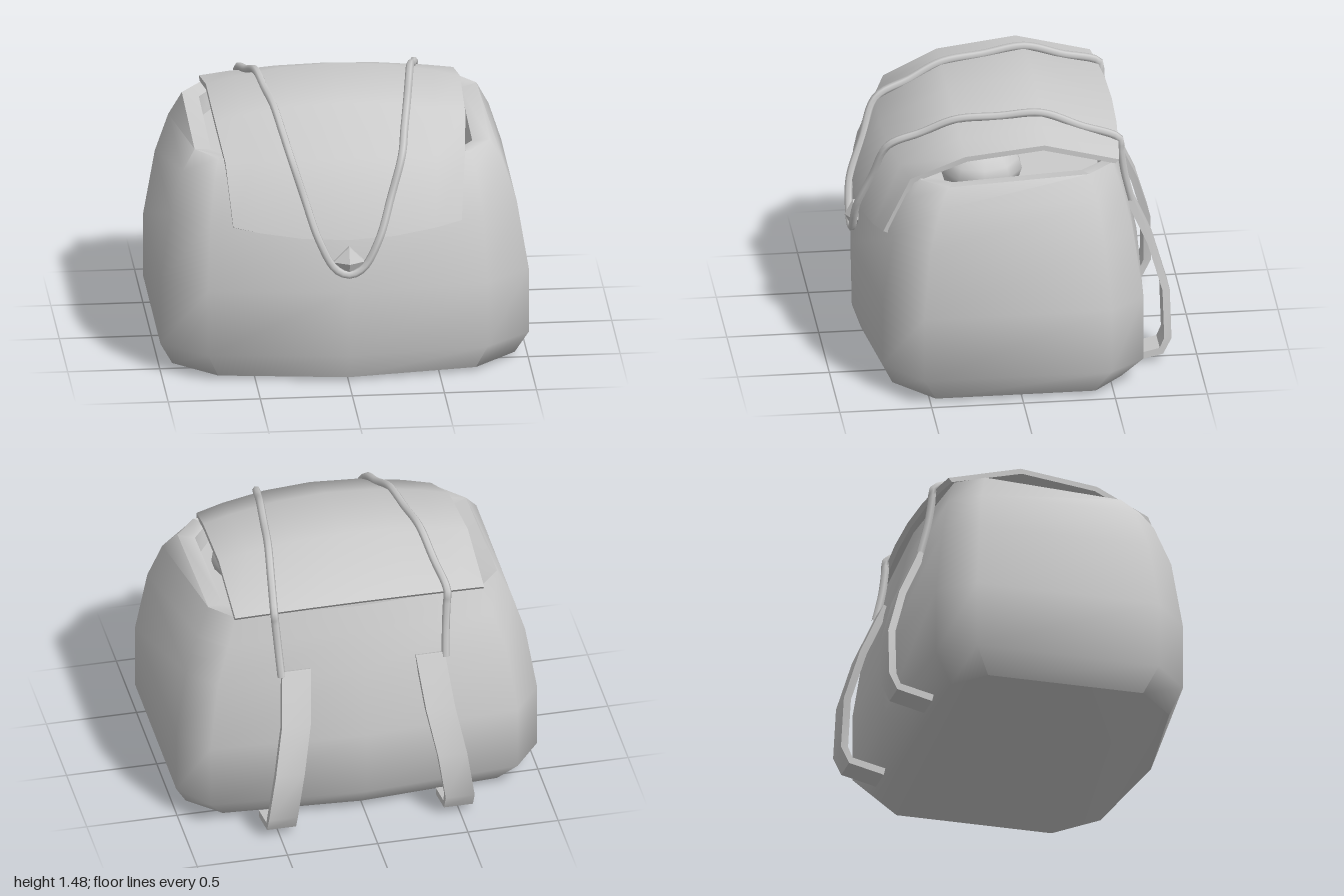
import * as THREE from 'three';
import { toCreasedNormals } from 'three/addons/utils/BufferGeometryUtils.js';

const grey = new THREE.MeshStandardMaterial({ color: 0xcccccc });
grey.name = 'plain grey';

// Skin a list of closed rings (arrays of [x, y, z]) and close both ends
function loft(rings, crease = 1.0) {
  const n = rings[0].length, index = [];
  const quad = (a, b, c, d) => index.push(a, b, c, a, c, d);
  for (let i = 0; i < rings.length - 1; i++) {
    for (let j = 0; j < n; j++) {
      const k = (j + 1) % n;
      quad(i * n + j, i * n + k, (i + 1) * n + k, (i + 1) * n + j);
    }
  }
  const last = (rings.length - 1) * n;
  for (let j = 0; j < n / 2 - 1; j++) {
    const a = j, b = j + 1, c = n - 2 - j, d = n - 1 - j;
    quad(d, c, b, a);
    quad(last + a, last + b, last + c, last + d);
  }
  const g = new THREE.BufferGeometry();
  g.setAttribute('position', new THREE.Float32BufferAttribute(rings.flat(2), 3));
  g.setIndex(index);
  return toCreasedNormals(g, crease);
}

// Body plan: eight bevelled corners plus a bulge at mid front and mid back
function bodyRing([y, w, sf, cxf, cf, zf, sb, cxb, cb, zb], slope) {
  const half = [[cxf, cf], [w, sf], [w, sb], [cxb, cb]];
  const plan = [[0, zf], ...half, [0, zb], ...half.map(([x, z]) => [-x, z]).reverse()];
  return plan.map(([x, z]) => [x, y - slope * z, z]);
}

// Flap stations from front hem to back edge: centre y, z, edge y, z, half width
const flapStations = [
  [0.83, 0.81, 0.89, 0.72, 0.62],
  [1.25, 0.67, 1.21, 0.575, 0.65],
  [1.43, 0.30, 1.34, 0.28, 0.68],
  [1.48, -0.17, 1.39, -0.15, 0.69],
  [1.32, -0.595, 1.285, -0.555, 0.69],
];

// Point on the flap at station t and sideways position x, raised by lift
function flapPoint(t, x, lift = 0) {
  const i = Math.min(Math.floor(t), flapStations.length - 2);
  const s = flapStations[i].map((v, k) => THREE.MathUtils.lerp(v, flapStations[i + 1][k], t - i));
  const f = (x / s[4]) ** 2;
  const y = THREE.MathUtils.lerp(s[0], s[2], f), z = THREE.MathUtils.lerp(s[1], s[3], f);
  const len = Math.hypot(y - 0.6, z);
  return [x, y + lift * (y - 0.6) / len, z + lift * z / len];
}

// Flat band along a path of [x, y, z], lying across x
function band(path, halfWidth, halfThick) {
  return loft(path.map(([x, y, z], i) => {
    const p = path[Math.max(i - 1, 0)], q = path[Math.min(i + 1, path.length - 1)];
    const dy = q[1] - p[1], dz = q[2] - p[2], l = Math.hypot(dy, dz);
    const ny = -dz / l * halfThick, nz = dy / l * halfThick;
    return [[-1, 1], [1, 1], [1, -1], [-1, -1]].map(
      ([s, o]) => [x + s * halfWidth, y + o * ny, z + o * nz]);
  }), 0.8);
}

export function createModel() {
  const model = new THREE.Group();
  model.name = 'backpack';
  const add = (name, geometry) => {
    const mesh = new THREE.Mesh(geometry, grey);
    mesh.name = name;
    model.add(mesh);
    return mesh;
  };

  // Body with an open, slightly sloping rim and a shallow well
  const levels = [
    [0.02, 0.93, 0.47, 0.70, 0.68, 0.77, -0.40, 0.76, -0.56, -0.61],
    [0.16, 1.00, 0.54, 0.76, 0.74, 0.82, -0.48, 0.85, -0.67, -0.73],
    [0.53, 1.00, 0.54, 0.76, 0.74, 0.82, -0.48, 0.85, -0.67, -0.73],
    [0.90, 0.94, 0.50, 0.74, 0.68, 0.76, -0.45, 0.80, -0.62, -0.66],
    [1.12, 0.87, 0.44, 0.71, 0.59, 0.64, -0.42, 0.73, -0.57, -0.60],
    [1.24, 0.80, 0.38, 0.68, 0.52, 0.57, -0.38, 0.68, -0.52, -0.56],
    [1.225, 0.71, 0.35, 0.62, 0.47, 0.51, -0.35, 0.62, -0.47, -0.50],
    [1.12, 0.69, 0.34, 0.61, 0.46, 0.50, -0.34, 0.61, -0.46, -0.49],
  ];
  add('body', loft(levels.map((l, i) => bodyRing(l, i > 4 ? 0.05 : 0)), 1.1));

  // Contents showing under the flap
  [[0.42, 0.17, 0.24, 0.15, 0.23], [-0.36, -0.17, 0.26, 0.17, 0.18]].forEach(([x, z, a, b, c]) => {
    const lump = add('contents', new THREE.SphereGeometry(1, 10, 8));
    lump.position.set(x, 1.17, z);
    lump.scale.set(a, b, c);
  });

  // Flap
  const columns = [-1, -0.77, -0.4, 0, 0.4, 0.77, 1];
  add('flap', loft(flapStations.map((s, t) => [
    ...columns.map(c => flapPoint(t, c * s[4])),
    ...columns.map(c => flapPoint(t, -c * s[4], -0.03)),
  ]), 0.9));

  // Cord: over the flap on both sides, meeting in a V at the clasp
  const across = [0.165, 0.235, 0.30, 0.33, 0.36, 0.39, 0.42, 0.45, 0.48];
  const side = [
    [0.075, 0.67, 0.825],
    ...across.map((x, i) => flapPoint(i / 2, x, 0.01)),
    [0.475, 1.24, -0.59], [0.465, 1.10, -0.61], [0.455, 0.93, -0.65],
  ];
  const cordPath = [
    ...side.map(([x, y, z]) => [-x, y, z]).reverse(), [0, 0.635, 0.825], ...side,
  ].map(p => new THREE.Vector3(...p));
  add('cord', new THREE.TubeGeometry(
    new THREE.CatmullRomCurve3(cordPath, false, 'centripetal'), 140, 0.022, 6));

  // Faceted clasp
  const claspProfile = [[0, -0.04], [0.085, -0.025], [0.085, -0.005], [0, 0.04]]
    .map(p => new THREE.Vector2(...p));
  const clasp = add('clasp', toCreasedNormals(new THREE.LatheGeometry(claspProfile, 4), 0.1));
  clasp.rotation.x = Math.PI / 2;
  clasp.position.set(0, 0.705, 0.82);

  // Shoulder straps
  const strapPath = [
    [0.37, 0.95, -0.63], [0.40, 0.67, -0.755], [0.45, 0.41, -0.83],
    [0.49, 0.14, -0.835], [0.49, 0.065, -0.80], [0.49, 0.02, -0.61],
  ];
  for (const s of [1, -1]) {
    add(s > 0 ? 'leftShoulderStrap' : 'rightShoulderStrap',
      band(strapPath.map(([x, y, z]) => [s * x, y, z]), 0.08, 0.02));
  }
  return model;
}
